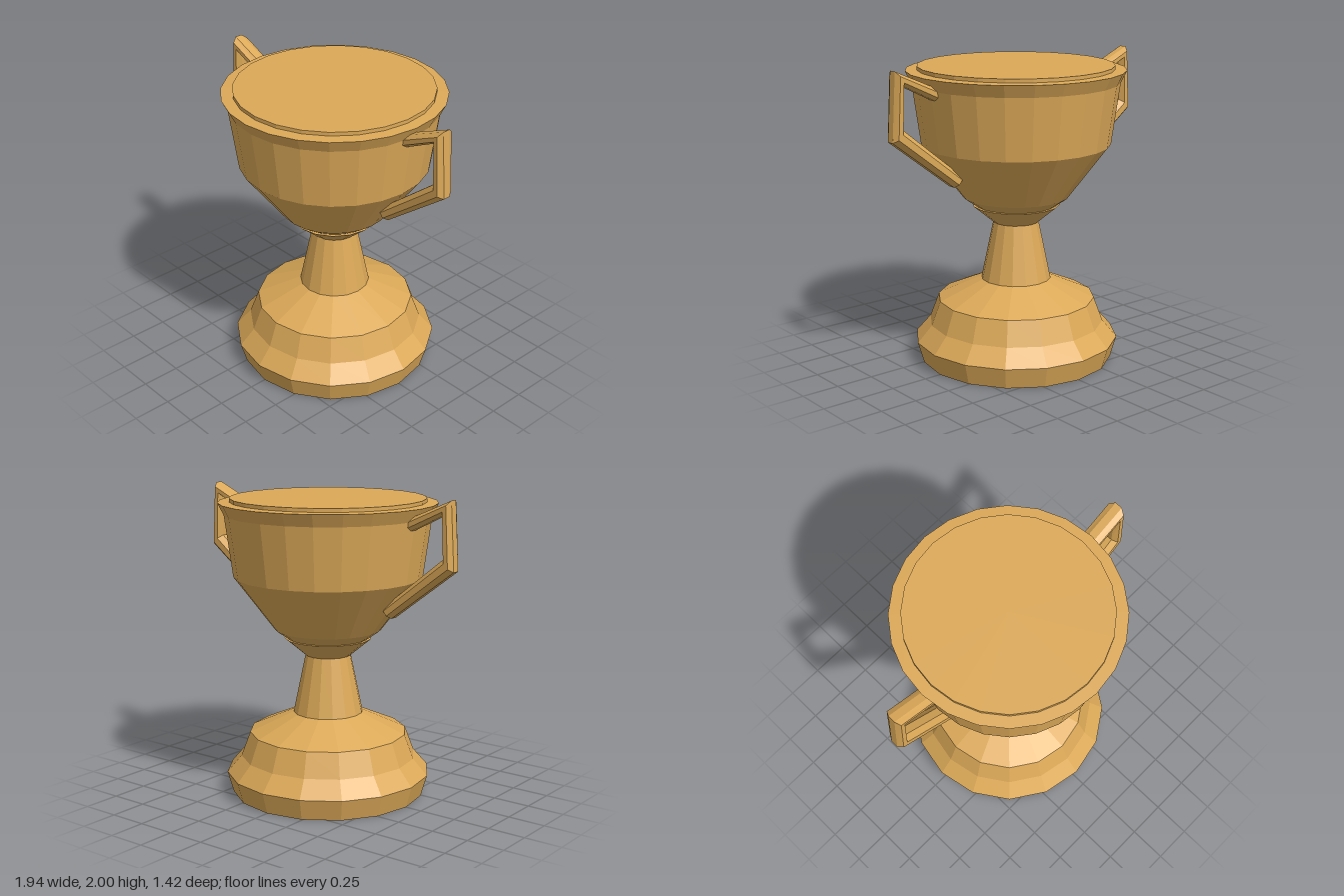
import * as THREE from 'three';

const gold = new THREE.MeshStandardMaterial({ color: 0xdca958, flatShading: true });
gold.name = 'gold';

// Faceted turned part from a bottom-to-top list of [radius, height]
function turned(name, profile, sides) {
  const points = profile.map(([r, y]) => new THREE.Vector2(r, y));
  const mesh = new THREE.Mesh(new THREE.LatheGeometry(points, sides), gold);
  mesh.name = name;
  return mesh;
}

// Eight-sided bar swept between an outer and an inner outline in the xy plane
function barGeometry(outer, inner, halfDepth) {
  const sides = 8;
  const positions = [];
  const index = [];
  const k = Math.cos(Math.PI / sides);
  outer.forEach(([ox, oy], i) => {
    const [ix, iy] = inner[i];
    for (let j = 0; j < sides; j++) {
      const a = ((j + 0.5) / sides) * Math.PI * 2;
      const t = Math.cos(a) / k / 2;
      positions.push(
        (ox + ix) / 2 + (ox - ix) * t,
        (oy + iy) / 2 + (oy - iy) * t,
        (halfDepth * Math.sin(a)) / k
      );
    }
  });
  for (let i = 0; i < outer.length - 1; i++) {
    for (let j = 0; j < sides; j++) {
      const n = (j + 1) % sides;
      const a = i * sides + j, b = i * sides + n;
      index.push(a, b, b + sides, a, b + sides, a + sides);
    }
  }
  // End caps
  const last = (outer.length - 1) * sides;
  for (let j = 1; j < sides - 1; j++) {
    index.push(0, j + 1, j, last, last + j, last + j + 1);
  }
  const geometry = new THREE.BufferGeometry();
  geometry.setAttribute('position', new THREE.Float32BufferAttribute(positions, 3));
  geometry.setIndex(index);
  geometry.computeVertexNormals();
  return geometry;
}

export function createModel() {
  const trophy = new THREE.Group();
  trophy.name = 'trophyCup';

  // Stepped foot
  trophy.add(turned('base', [
    [0, 0], [0.635, 0], [0.675, 0.14], [0.58, 0.25], [0.52, 0.41], [0.23, 0.54], [0, 0.54],
  ], 16));

  // Tapered stem and the collar under the bowl
  trophy.add(turned('stem', [[0.23, 0.54], [0.15, 0.925]], 16));
  trophy.add(turned('collar', [[0.15, 0.925], [0.287, 1.04], [0.2, 1.04]], 16));

  // Bowl with flared rim
  trophy.add(turned('bowl', [
    [0.2, 1.01], [0.265, 1.04], [0.35, 1.1], [0.615, 1.45],
    [0.67, 1.85], [0.71, 1.93], [0.62, 1.935],
  ], 24));

  // Flat top closing the bowl
  trophy.add(turned('top', [[0.635, 1.93], [0.635, 1.958], [0, 1.958]], 24));

  // Angular handles on both sides
  const handle = barGeometry(
    [[0.6, 1.85], [0.945, 2.0], [0.972, 1.57], [0.52, 1.23]],
    [[0.6, 1.765], [0.885, 1.905], [0.893, 1.64], [0.465, 1.3]],
    0.06
  );
  ['leftHandle', 'rightHandle'].forEach((name, i) => {
    const mesh = new THREE.Mesh(handle, gold);
    mesh.name = name;
    mesh.rotation.y = i * Math.PI;
    trophy.add(mesh);
  });

  return trophy;
}
